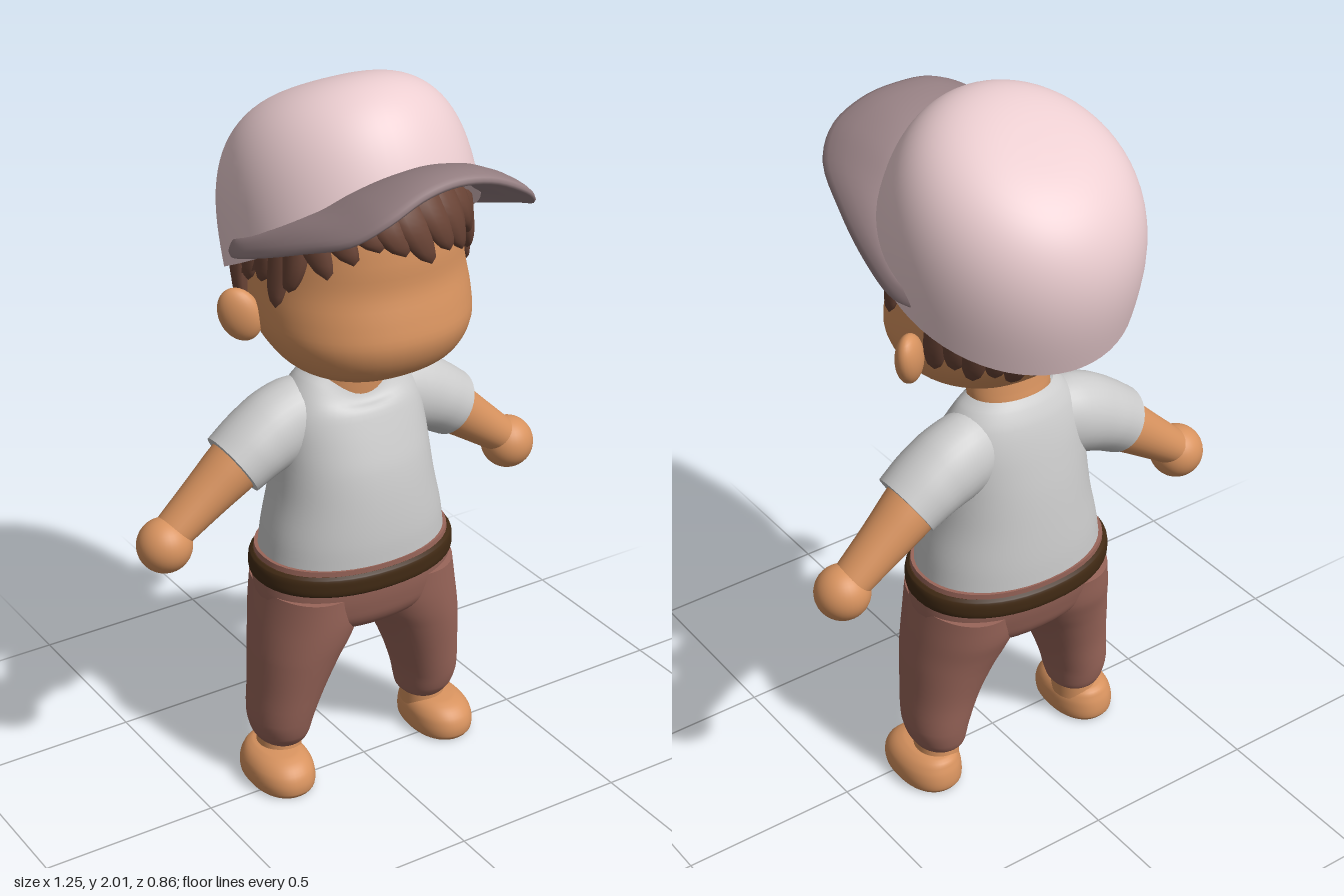
import * as THREE from 'three';

const V = (x, y, z) => new THREE.Vector3(x, y, z);
const { lerp, smoothstep } = THREE.MathUtils;
const TAU = Math.PI * 2;
const mat = (color, side = THREE.FrontSide) =>
  new THREE.MeshStandardMaterial({ color, side });
const skinMat = mat(0xd8935f), shirtMat = mat(0xcccccc, THREE.DoubleSide), pantsMat = mat(0x9a665a);
const hairMat = mat(0x6a4436, THREE.DoubleSide), beltMat = mat(0x412a14);
const capMat = mat(0xecced1, THREE.DoubleSide), brimMat = mat(0x968083);

// Joins closed rings of points into one smooth surface, facing outwards
function skin(rings, capStart = true, capEnd = true) {
  const n = rings[0].length, all = [...rings];
  const centre = r => r.reduce((s, p) => s.add(p), V(0, 0, 0)).divideScalar(n);
  // a repeated ring keeps the cap edge sharp
  if (capStart) all.unshift(Array(n).fill(centre(rings[0])), rings[0]);
  if (capEnd) all.push(rings.at(-1), Array(n).fill(centre(rings.at(-1))));
  const pts = all.flat(), idx = [];
  for (let i = 0; i < all.length - 1; i++) for (let j = 0; j < n; j++) {
    const a = i * n + j, b = i * n + (j + 1) % n;
    idx.push(a, b, a + n, b, b + n, a + n);
  }
  const mid = pts.reduce((s, p) => s.add(p), V(0, 0, 0)).divideScalar(pts.length);
  let volume = 0;
  for (let i = 0; i < idx.length; i += 3) {
    const [a, b, c] = [0, 1, 2].map(k => pts[idx[i + k]].clone().sub(mid));
    volume += a.dot(b.cross(c));
  }
  if (volume < 0) idx.reverse();
  const g = new THREE.BufferGeometry().setFromPoints(pts);
  g.setIndex(idx);
  g.computeVertexNormals();
  return g;
}

// Section rows are [y, xMin, xMax, zFront, zBack], smoothly interpolated at height y
function sectionAt(rows, y) {
  let k = 0;
  while (k < rows.length - 2 && y > rows[k + 1][0]) k++;
  const h = rows[k + 1][0] - rows[k][0], t = (y - rows[k][0]) / h;
  const slope = (i, c) => {
    const a = rows[Math.max(i - 1, 0)], b = rows[Math.min(i + 1, rows.length - 1)];
    return (b[c] - a[c]) / (b[0] - a[0]) * h;
  };
  return [1, 2, 3, 4].map(c => {
    const t2 = t * t, t3 = t2 * t;
    return (2 * t3 - 3 * t2 + 1) * rows[k][c] + (t3 - 2 * t2 + t) * slope(k, c)
      + (3 * t2 - 2 * t3) * rows[k + 1][c] + (t3 - t2) * slope(k + 1, c);
  });
}
const spow = (v, e) => Math.sign(v) * Math.abs(v) ** e;
function bodyPoint(rows, y, a, e = 1) {
  const [x0, x1, zf, zb] = sectionAt(rows, y);
  return V((x0 + x1) / 2 + (x1 - x0) / 2 * spow(Math.sin(a), e), y,
    (zf + zb) / 2 + (zf - zb) / 2 * spow(Math.cos(a), e));
}
function body(rows, { e = 1, side = 1, warp, top = true, bottom = true, n = 48 } = {}) {
  const rings = [];
  for (let i = 0; i < rows.length; i++) for (let s = 0; s < (i < rows.length - 1 ? 4 : 1); s++) {
    const y = s ? lerp(rows[i][0], rows[i + 1][0], s / 4) : rows[i][0];
    rings.push(Array.from({ length: n }, (_, j) => {
      const p = bodyPoint(rows, y, j / n * TAU, e);
      if (warp) warp(p, j / n * TAU);
      p.x *= side;
      return p;
    }));
  }
  return skin(rings, bottom, top);
}
const sym = rows => rows.map(([y, rx, zf, zb]) => [y, -rx, rx, zf, zb]);

// Limb along a curve in the front plane; radii rows are [inPlane, depth]
function limb(points, radii, side) {
  const curve = new THREE.CatmullRomCurve3(points), N = 16, rings = [];
  for (let i = 0; i <= N; i++) {
    const t = i / N, p = curve.getPoint(t), d = curve.getTangent(t);
    const f = t * (radii.length - 1), k = Math.min(Math.floor(f), radii.length - 2);
    const [r, q] = [0, 1].map(c => lerp(radii[k][c], radii[k + 1][c], f - k));
    rings.push(Array.from({ length: 32 }, (_, j) => {
      const a = j / 32 * TAU, u = r * Math.cos(a);
      return V((p.x - d.y * u) * side, p.y + d.x * u, p.z + q * Math.sin(a));
    }));
  }
  return skin(rings);
}

const HEAD = sym([[1.222, 0.03, 0.02, -0.07], [1.235, 0.12, 0.11, -0.11], [1.26, 0.185, 0.175, -0.15],
  [1.3, 0.24, 0.228, -0.2], [1.37, 0.28, 0.26, -0.275], [1.44, 0.287, 0.252, -0.31],
  [1.52, 0.28, 0.234, -0.33], [1.6, 0.27, 0.232, -0.34], [1.7, 0.26, 0.215, -0.35],
  [1.8, 0.22, 0.15, -0.33], [1.87, 0.15, 0.08, -0.26], [1.9, 0.03, -0.05, -0.13]]);
const headPoint = (y, a, out = 0) =>
  bodyPoint(HEAD, y, a, 0.92).add(V(Math.sin(a) * out, 0, Math.cos(a) * out));

// Tapered hair lock hugging the head
function lock(a0, y0, y1, w, lean) {
  const rings = [];
  for (let i = 0; i <= 10; i++) {
    const t = i / 10, a = a0 + lean * t * t, c = headPoint(lerp(y0, y1, t), a, 0.012);
    const k = Math.sqrt(1 - t ** 2.4) + 0.02;
    rings.push(Array.from({ length: 10 }, (_, j) => {
      const b = j / 10 * TAU, u = w * k * Math.cos(b), v = 0.024 * k * Math.sin(b);
      return V(c.x + Math.cos(a) * u + Math.sin(a) * v, c.y, c.z - Math.sin(a) * u + Math.cos(a) * v);
    }));
  }
  return skin(rings);
}

function hairShell() {
  const rings = [];
  for (let k = 0; k <= 10; k++) rings.push(Array.from({ length: 48 }, (_, j) => {
    const a = j / 48 * TAU;
    return headPoint(lerp(1.54 + 0.15 * Math.cos(a), 1.89, k / 10), a, 0.018);
  }));
  return skin(rings, false, true);
}

// Tilted dome, its rim lifted at the front, with an inward lip
function capDome() {
  const R = 0.36, H = 0.402, n = 64, rings = [];
  const ring = (q, inset = 1) => Array.from({ length: n }, (_, j) => {
    const a = j / n * TAU, u = lerp(0.09 * Math.max(0, Math.cos(a)) ** 2, H, q);
    const r = R * inset * Math.max(0, 1 - (u / H) ** 2.9) ** (1 / 2.9);
    return V(0.93 * r * Math.sin(a), u, 0.02 + 0.12 * u + r * Math.cos(a));
  });
  rings.push(ring(0, 0.86), ring(0));
  for (let k = 0; k <= 24; k++) rings.push(ring(Math.sin(k / 24 * Math.PI / 2)));
  return skin(rings, false, false);
}

// Curved brim swept between an inner and an outer edge
function brimGeometry() {
  const edge = half => new THREE.CatmullRomCurve3([
    ...half.slice(1).reverse().map(([x, y, z]) => V(-x, y, z)), ...half.map(p => V(...p))]);
  const inner = edge([[0, 1.8, 0.18], [0.08, 1.79, 0.17], [0.15, 1.765, 0.14], [0.21, 1.72, 0.09],
    [0.26, 1.67, 0.02], [0.295, 1.62, -0.05], [0.305, 1.59, -0.1], [0.305, 1.575, -0.13]]);
  const outer = edge([[0, 1.865, 0.425], [0.1, 1.852, 0.43], [0.2, 1.805, 0.425], [0.265, 1.75, 0.37],
    [0.315, 1.69, 0.22], [0.345, 1.63, 0.06], [0.35, 1.59, -0.06], [0.325, 1.575, -0.13]]);
  const rings = [];
  for (let i = 0; i <= 64; i++) {
    const p = inner.getPoint(i / 64), q = outer.getPoint(i / 64);
    const h = 0.02 * Math.min(1, 0.4 + Math.min(i, 64 - i) / 6);
    rings.push(Array.from({ length: 20 }, (_, j) => {
      const a = j / 20 * TAU, s = 0.5 + 0.5 * spow(Math.cos(a), 0.8);
      const c = p.clone().lerp(q, s);
      c.y += h * spow(Math.sin(a), 0.7) + 0.02 * Math.sin(Math.PI * s);
      return c;
    }));
  }
  return skin(rings);
}

export function createModel() {
  const model = new THREE.Group();
  const add = (name, geometry, material, parent = model) => {
    const m = new THREE.Mesh(geometry, material);
    m.name = name;
    parent.add(m);
    return m;
  };

  // Head, neck and hair
  add('head', body(HEAD, { e: 0.92 }), skinMat);
  add('neck', body(sym([[1.06, 0.115, 0, -0.16], [1.14, 0.118, 0.008, -0.155], [1.2, 0.12, 0.012, -0.155],
    [1.23, 0.12, 0.012, -0.15], [1.3, 0.11, 0, -0.14]])), skinMat);
  const hair = new THREE.Group();
  hair.name = 'hair';
  model.add(hair);
  add('hairShell', hairShell(), hairMat, hair);
  const fringe = [1.57, 1.61, 1.64, 1.62, 1.585, 1.6, 1.58, 1.61, 1.57];
  fringe.forEach((y, i) => add('fringeLock', lock(-1 + i * 0.235, 1.77, y, 0.05, 0.2), hairMat, hair));
  for (const s of [-1, 1]) {
    [[1.12, 1.52], [1.28, 1.47], [1.45, 1.52], [1.65, 1.5]].forEach(([a, y]) =>
      add('sideLock', lock(s * a, 1.64, y, 0.036, s * 0.05), hairMat, hair));
    for (let i = 0; i < 7; i++)
      add('backLock', lock(s * (1.92 + i * 0.19), 1.56, 1.385 - i * 0.01 + (i % 2) * 0.025, 0.04, s * 0.06), hairMat, hair);
  }

  // Cap
  const dome = add('capDome', capDome(), capMat);
  dome.position.set(0, 1.56, -0.07);
  dome.rotation.x = -0.446;
  add('capBrim', brimGeometry(), brimMat);

  // Shirt with a neckline dipping at the front
  add('shirt', body(sym([[0.68, 0.27, 0.135, -0.268], [0.76, 0.258, 0.135, -0.265], [0.86, 0.236, 0.126, -0.256],
    [0.95, 0.224, 0.11, -0.245], [1.02, 0.218, 0.088, -0.233], [1.09, 0.21, 0.062, -0.218],
    [1.15, 0.185, 0.038, -0.2], [1.19, 0.155, 0.024, -0.18], [1.215, 0.124, 0.014, -0.162]]), {
    e: 0.95, top: false,
    warp: (p, a) => { p.y -= 0.07 * smoothstep(p.y, 1.1, 1.215) * Math.max(0, Math.cos(a)) ** 3; },
  }), shirtMat);

  // Trousers and belt
  add('trouserTop', body(sym([[0.455, 0.06, 0.0, -0.12], [0.475, 0.18, 0.07, -0.19], [0.51, 0.265, 0.108, -0.23],
    [0.56, 0.288, 0.125, -0.25], [0.62, 0.288, 0.135, -0.265], [0.695, 0.277, 0.138, -0.272]]), { e: 0.92 }), pantsMat);
  add('belt', body(sym([[0.618, 0.285, 0.138, -0.27], [0.626, 0.294, 0.147, -0.28], [0.65, 0.296, 0.149, -0.283],
    [0.672, 0.292, 0.147, -0.28], [0.68, 0.283, 0.138, -0.27]]), { e: 0.93 }), beltMat);

  for (const s of [-1, 1]) {
    const name = part => (s > 0 ? 'left' : 'right') + part;
    // Ear
    const ear = add(name('Ear'), new THREE.SphereGeometry(1, 24, 18), skinMat);
    ear.scale.set(0.056, 0.074, 0.034);
    ear.position.set(s * 0.318, 1.41, -0.09);
    ear.rotation.set(0, s * 0.65, s * -0.35);

    // Sleeve, arm and hand
    add(name('Sleeve'), limb([V(0.1, 1.075, -0.095), V(0.18, 1.065, -0.1), V(0.265, 1.03, -0.1), V(0.345, 0.98, -0.1)],
      [[0.11, 0.09], [0.115, 0.1], [0.11, 0.104], [0.1, 0.104], [0.093, 0.098]], s), shirtMat);
    add(name('Arm'), limb([V(0.28, 1.02, -0.105), V(0.4, 0.925, -0.11), V(0.54, 0.815, -0.112)],
      [[0.082, 0.085], [0.074, 0.077], [0.062, 0.065], [0.05, 0.056]], s), skinMat);
    add(name('Hand'), new THREE.SphereGeometry(0.075, 32, 24), skinMat).position.set(s * 0.552, 0.797, -0.108);

    // Leg, ankle and foot
    add(name('TrouserLeg'), body([[0.115, 0.175, 0.295, 0.005, -0.135], [0.125, 0.166, 0.305, 0.014, -0.145],
      [0.15, 0.16, 0.318, 0.03, -0.155], [0.2, 0.15, 0.328, 0.046, -0.165], [0.3, 0.116, 0.322, 0.068, -0.178],
      [0.4, 0.07, 0.316, 0.09, -0.2], [0.46, 0.035, 0.309, 0.102, -0.217], [0.52, 0.015, 0.3, 0.11, -0.235],
      [0.6, 0.02, 0.286, 0.115, -0.245]], { e: 0.95, side: s }), pantsMat);
    add(name('Ankle'), body([[0.07, 0.18, 0.305, 0.005, -0.135], [0.14, 0.18, 0.3, 0.0, -0.13]], { side: s }), skinMat);
    add(name('Foot'), body([[0, 0.185, 0.345, 0.085, -0.155], [0.014, 0.177, 0.353, 0.094, -0.164],
      [0.045, 0.176, 0.355, 0.094, -0.164], [0.075, 0.183, 0.345, 0.078, -0.156], [0.098, 0.205, 0.318, 0.04, -0.14],
      [0.106, 0.24, 0.28, -0.02, -0.1]], { e: 0.9, side: s }), skinMat);
  }
  return model;
}
